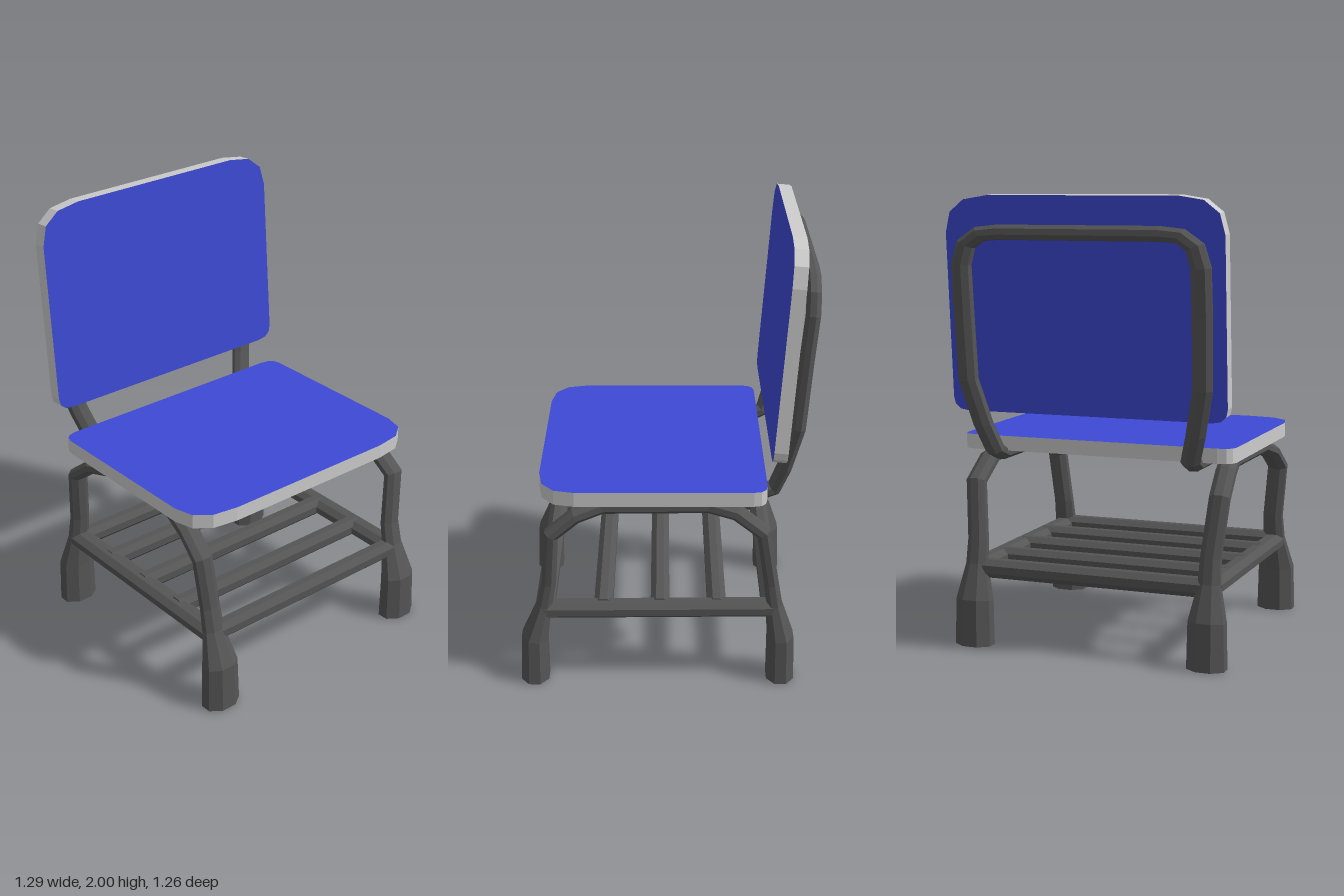
import * as THREE from 'three';

const STRETCH = 1.38; // the tubing is wider across the chair than along it
const SIDES = 8;
const blue = new THREE.MeshStandardMaterial({ color: 0x3d4ad4, flatShading: true });
const edge = new THREE.MeshStandardMaterial({ color: 0xcccccc, flatShading: true });
const metal = new THREE.MeshStandardMaterial({ color: 0x555555, flatShading: true });

// Tube through points [x, y, z, radius], with one ring per point and closed ends
function tube(name, points, radius = 0.035) {
  const p = points.map(([x, y, z]) => new THREE.Vector3(x, y, z / STRETCH));
  const tangents = p.map((q, i) => {
    const a = i > 0 ? q.clone().sub(p[i - 1]).normalize() : new THREE.Vector3();
    const b = i < p.length - 1 ? p[i + 1].clone().sub(q).normalize() : new THREE.Vector3();
    return a.add(b).normalize();
  });
  const t0 = tangents[0];
  const normal = new THREE.Vector3(0, 0, 1);
  if (Math.abs(t0.z) > 0.9) normal.set(0, 1, 0);
  normal.addScaledVector(t0, -normal.dot(t0)).normalize();
  const pos = [], idx = [];
  p.forEach((q, i) => {
    if (i > 0) normal.applyQuaternion(new THREE.Quaternion().setFromUnitVectors(tangents[i - 1], tangents[i]));
    const side = tangents[i].clone().cross(normal);
    const r = points[i][3] ?? radius;
    for (let k = 0; k < SIDES; k++) {
      const a = ((k + 0.5) / SIDES) * Math.PI * 2;
      const v = q.clone().addScaledVector(normal, Math.cos(a) * r).addScaledVector(side, Math.sin(a) * r);
      pos.push(v.x, v.y, v.z);
      const n = (k + 1) % SIDES, u = i * SIDES;
      if (i < p.length - 1) idx.push(u + k, u + n, u + SIDES + n, u + k, u + SIDES + n, u + SIDES + k);
    }
  });
  const last = (p.length - 1) * SIDES;
  for (let k = 1; k < SIDES - 1; k++) idx.push(0, k + 1, k, last, last + k, last + k + 1);
  const g = new THREE.BufferGeometry();
  g.setAttribute('position', new THREE.Float32BufferAttribute(pos, 3));
  g.setIndex(idx);
  g.scale(1, 1, STRETCH);
  g.computeVertexNormals();
  const mesh = new THREE.Mesh(g, metal);
  mesh.name = name;
  return mesh;
}

// Rectangle whose corners [x, y, cutX, cutY] run counter-clockwise
function roundedOutline(corners) {
  const s = new THREE.Shape();
  corners.forEach(([x, y, cx, cy], i) => {
    const sx = Math.sign(x - 0), alongX = i % 2 === 1;
    const sy = i < 2 ? -1 : 1;
    const dx = i === 1 || i === 2 ? 1 : -1;
    const onHorizontal = [x - dx * cx, y], onVertical = [x, y - sy * cy];
    const [a, b] = alongX ? [onHorizontal, onVertical] : [onVertical, onHorizontal];
    if (i === 0) s.moveTo(...a); else s.lineTo(...a);
    s.quadraticCurveTo(x, y, ...b);
  });
  s.closePath();
  return s;
}

function panel(name, shape, depth) {
  const g = new THREE.ExtrudeGeometry(shape, { depth, bevelEnabled: false, curveSegments: 3 });
  const mesh = new THREE.Mesh(g, [blue, edge]);
  mesh.name = name;
  return mesh;
}

export function createModel() {
  const model = new THREE.Group();
  model.name = 'chair';

  // Seat, with large curves at its free edge
  const seat = panel('seat', roundedOutline([
    [-0.44, -0.63, 0.06, 0.07], [0.545, -0.63, 0.16, 0.21],
    [0.545, 0.63, 0.16, 0.21], [-0.44, 0.63, 0.06, 0.07],
  ]), 0.065);
  seat.geometry.rotateX(-Math.PI / 2);
  seat.position.y = 0.873;
  model.add(seat);

  // Backrest, leaning away from the seat
  const back = panel('backrest', roundedOutline([
    [-0.63, 0, 0.07, 0.06], [0.63, 0, 0.07, 0.06],
    [0.63, 0.94, 0.2, 0.16], [-0.63, 0.94, 0.2, 0.16],
  ]), 0.06);
  back.geometry.rotateY(-Math.PI / 2);
  back.position.set(-0.455, 1.06, 0);
  back.rotation.z = 0.0743;
  model.add(back);

  // Bent tube that carries the backrest, mirrored about the middle
  const half = [
    [-0.1, 0.862, 0.45], [-0.42, 0.862, 0.45], [-0.475, 0.885, 0.455], [-0.515, 1.0, 0.49],
    [-0.565, 1.2, 0.535], [-0.59, 1.5, 0.54], [-0.61, 1.7, 0.54], [-0.613, 1.785, 0.515],
    [-0.614, 1.83, 0.45], [-0.615, 1.838, 0.36],
  ];
  const mirrored = half.map(([x, y, z]) => [x, y, -z]).reverse();
  model.add(tube('backTube', [...half, ...mirrored], 0.034));

  // Each side: two legs with swollen feet, joined by an arch, and a low rail
  for (const s of [1, -1]) {
    const name = s > 0 ? 'left' : 'right';
    const path = [
      [-0.515, 0, 0.545, 0.066], [-0.513, 0.205, 0.545, 0.063], [-0.484, 0.36, 0.545, 0.038],
      [-0.468, 0.47, 0.545], [-0.428, 0.725, 0.57], [-0.31, 0.815, 0.56], [-0.19, 0.842, 0.54],
      [0.27, 0.838, 0.54], [0.385, 0.8, 0.56], [0.49, 0.715, 0.57],
      [0.508, 0.47, 0.545], [0.53, 0.36, 0.545, 0.038], [0.575, 0.205, 0.545, 0.063], [0.578, 0, 0.545, 0.067],
    ];
    model.add(tube(name + 'LegFrame', path.map(([x, y, z, r]) => [x, y, z * s, r ?? 0.035])));
    model.add(tube(name + 'Rail', [[-0.48, 0.345, 0.545 * s], [0.53, 0.338, 0.545 * s]], 0.04));
  }

  // Cross bars of the rack between the rails
  [-0.47, -0.23, 0.02, 0.27, 0.527].forEach((x, i) => {
    model.add(tube('rackBar' + (i + 1), [[x, 0.343, -0.545], [x, 0.343, 0.545]], 0.045));
  });

  return model;
}
